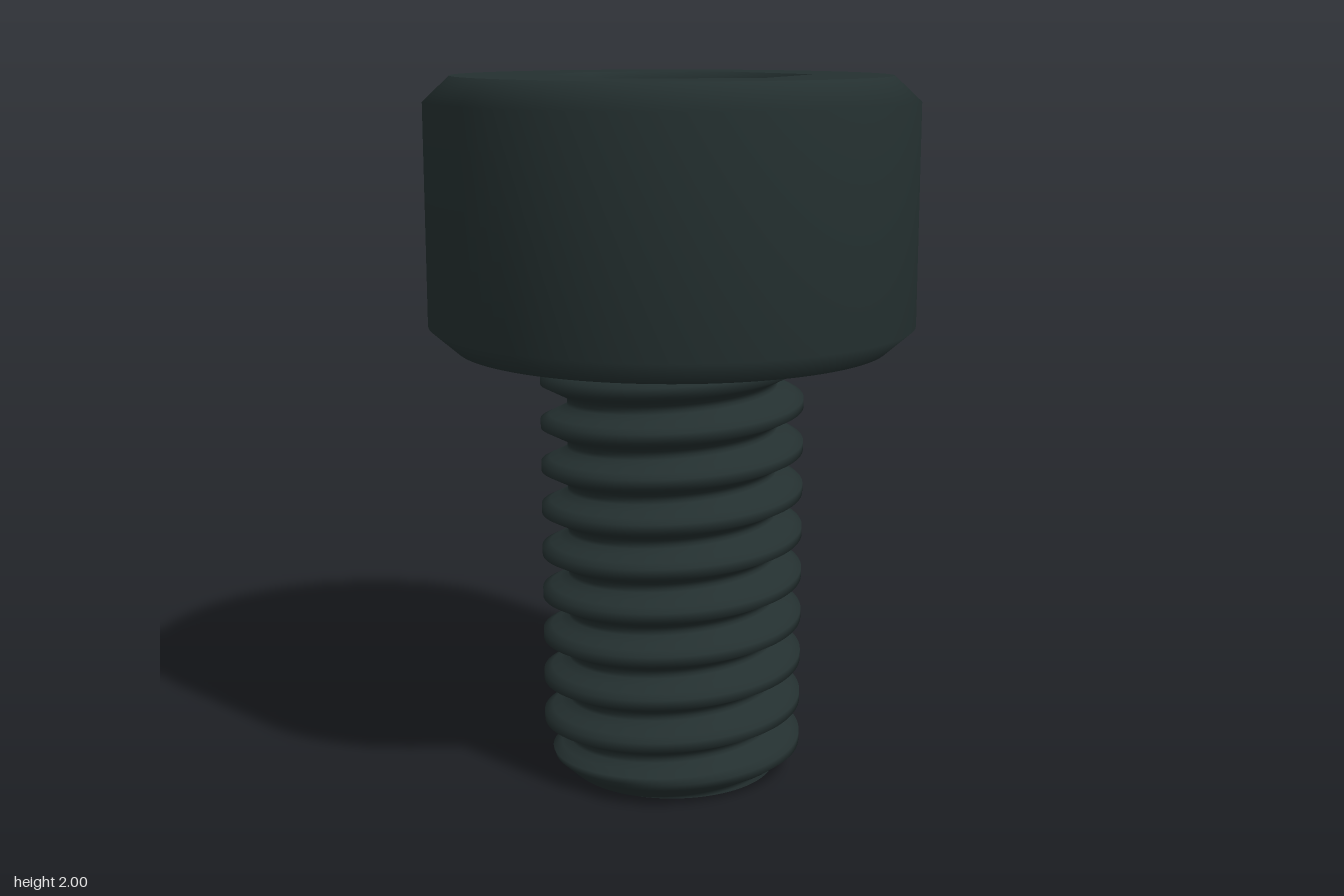
import * as THREE from 'three';

const HEAD_BOTTOM = 1.25, TOP = 2, HEAD_R = 0.685, RIM_R = 0.61;
const PITCH = 0.125, ROOT_R = 0.3, CREST_R = 0.375, CREST_Y = 0.07;
const SOCKET_R = 0.395, SOCKET_INNER_R = 0.36, SOCKET_FLOOR = 1.65;

// Radius of the shank at a height, given its position within one thread turn
function shankRadius(y, phase) {
  const d = Math.abs(phase - Math.round(phase)) * PITCH; // distance from the crest
  const t = THREE.MathUtils.clamp((d - 0.013) / 0.038, 0, 1);
  let r = THREE.MathUtils.lerp(CREST_R, ROOT_R, t);
  r = Math.max(r, CREST_R - (HEAD_BOTTOM - y) * 1.4); // flare under the head
  return Math.min(r, ROOT_R + y * 1.1);               // chamfered tip
}

// Right-handed thread: rows follow the helix, each turn joins the next
function threadGeometry() {
  const around = 96;
  const rows = [-0.5, -0.408, -0.305, -0.2, -0.104, 0.104, 0.2, 0.305, 0.408];
  const per = rows.length, turns = 13, count = per * turns;
  const positions = [], index = [];
  for (let i = 0; i < around; i++) {
    const a = (i / around) * Math.PI * 2;
    for (let j = 0; j < count; j++) {
      const turn = Math.floor(j / per) - 2 + rows[j % per];
      const raw = CREST_Y + PITCH * (turn + i / around);
      const y = THREE.MathUtils.clamp(raw, 0, HEAD_BOTTOM);
      const r = shankRadius(y, (y - CREST_Y) / PITCH - i / around);
      positions.push(r * Math.cos(a), y, -r * Math.sin(a));
    }
  }
  const id = (i, j) => (i < around ? i * count + j : j + per);
  for (let i = 0; i < around; i++) {
    for (let j = 0; j < count - per - 1; j++) {
      const a = id(i, j), b = id(i + 1, j), c = id(i + 1, j + 1), d = id(i, j + 1);
      index.push(a, b, c, a, c, d);
    }
  }
  const g = new THREE.BufferGeometry();
  g.setAttribute('position', new THREE.Float32BufferAttribute(positions, 3));
  g.setIndex(index);
  g.computeVertexNormals();
  return g;
}

// Flat disc facing up or down
function disc(radius, sides, y, up) {
  return new THREE.CircleGeometry(radius, sides).rotateX(up ? -Math.PI / 2 : Math.PI / 2).translate(0, y, 0);
}

export function createModel() {
  const model = new THREE.Group();
  model.name = 'socketHeadScrew';
  const steel = new THREE.MeshStandardMaterial({ color: 0x243030 });
  steel.name = 'blackenedSteel';
  const add = (name, geometry) => {
    const mesh = new THREE.Mesh(geometry, steel);
    mesh.name = name;
    model.add(mesh);
  };
  const profile = (pts) => pts.map(([x, y]) => new THREE.Vector2(x, y));

  // Head: chamfered side, underside and top face with a hexagonal opening
  add('headSide', new THREE.LatheGeometry(profile([
    [RIM_R, HEAD_BOTTOM], [HEAD_R, 1.315], [HEAD_R, 1.93], [RIM_R, TOP],
  ]), 96));
  add('headUnderside', disc(RIM_R, 96, HEAD_BOTTOM, false));

  const face = new THREE.Shape().absarc(0, 0, RIM_R, 0, Math.PI * 2, false);
  const hexagon = [];
  for (let i = 0; i < 6; i++) {
    const a = (i * Math.PI) / 3;
    hexagon.push(new THREE.Vector2(SOCKET_R * Math.cos(a), SOCKET_R * Math.sin(a)));
  }
  face.holes.push(new THREE.Path(hexagon));
  add('headTop', new THREE.ShapeGeometry(face, 96).rotateX(-Math.PI / 2).translate(0, TOP, 0));

  // Hex socket: bevelled lip, straight walls and floor
  add('socketWalls', new THREE.LatheGeometry(profile([
    [SOCKET_R, TOP], [SOCKET_INNER_R, 1.96], [SOCKET_INNER_R, SOCKET_FLOOR],
  ]), 6, Math.PI / 2));
  add('socketFloor', disc(SOCKET_INNER_R, 6, SOCKET_FLOOR, true));

  // Threaded shank and its flat tip
  add('threadedShank', threadGeometry());
  add('shankTip', disc(ROOT_R, 96, 0, false));

  return model;
}
